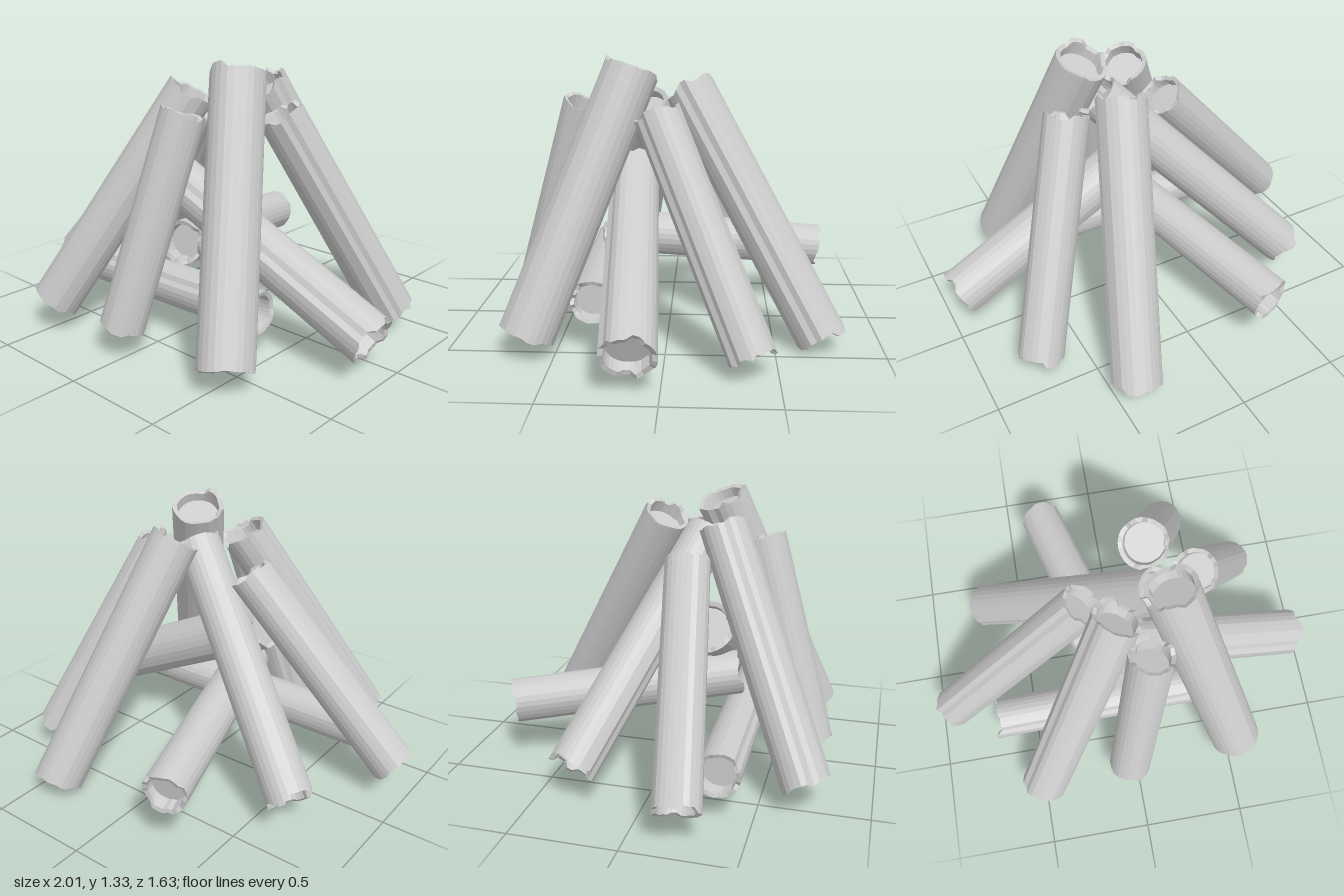
import * as THREE from 'three';

const SIDES = 26;

// Each log: name, bottom end, top end, radius
const LOGS = [
  ['backLeaningLog', [0.40, 0.055, -0.715], [0.14, 1.18, -0.09], 0.118],
  ['backLeftLeaningLog', [0.735, 0.09, -0.385], [0.355, 1.075, 0.04], 0.108],
  ['slantedCrossLog', [0.94, 0.175, 0.125], [-0.19, 0.72, 0.19], 0.123],
  ['rearFloorLog', [-0.305, 0.29, -0.75], [-0.02, 0.44, 0.31], 0.107],
  ['backRightLeaningLog', [-0.685, 0.17, -0.315], [0.17, 1.10, 0.115], 0.112],
  ['frontFloorLog', [-0.685, 0.22, 0.35], [0.48, 0.235, 0.33], 0.103],
  ['rightLeaningLog', [-0.915, 0.17, 0.23], [-0.165, 1.02, 0.085], 0.107],
  ['frontRightLeaningLog', [-0.50, 0.13, 0.71], [-0.03, 1.16, 0.225], 0.115],
  ['frontLeftLeaningLog', [0.545, 0.09, 0.625], [0.205, 1.265, 0.165], 0.128],
  ['frontLeaningLog', [-0.04, 0.13, 0.68], [0.09, 1.09, 0.40], 0.106],
];

function seeded(seed) {
  let s = seed * 7919 + 17;
  return () => (s = (s * 16807) % 2147483647) / 2147483647;
}

// Hollow-ended log along y: bark tube with ragged rims and recessed end discs
function logGeometry(length, radius, seed) {
  const rand = seeded(seed);
  const h = length / 2;
  const groove = Math.floor(rand() * SIDES);
  const bark = [], low = [], high = [];
  for (let k = 0; k < SIDES; k++) {
    // one lengthwise groove with a raised lip beside it
    const g = (k - groove + SIDES) % SIDES;
    bark.push(radius * (g === 0 ? 0.93 : g === 1 ? 1.02 : 0.98 + 0.03 * rand()));
  }
  // ragged rim in short steps
  for (const rim of [low, high]) {
    let step = 0;
    for (let k = 0; k < SIDES; k++) {
      if (k % 3 === 0 || rand() < 0.2) step = (rand() - 0.5) * 0.035;
      rim.push(step);
    }
  }
  // rings: [radius, height] for side k, from bottom disc round to top disc
  const rings = [
    () => [0, -h + 0.06],
    (k) => [bark[k] * 0.78, -h + 0.06],
    (k) => [bark[k] * 0.82, -h + low[k] + 0.006],
    (k) => [bark[k], -h + low[k]],
    (k) => [bark[k], h + high[k]],
    (k) => [bark[k] * 0.82, h + high[k] - 0.006],
    (k) => [bark[k] * 0.78, h - 0.06],
    () => [0, h - 0.06],
  ];
  const last = rings.length - 1;
  const pos = [], index = [];
  rings.forEach((ring, i) => {
    for (let k = 0; k < SIDES; k++) {
      const a = (k / SIDES) * Math.PI * 2;
      const [r, y] = ring(k);
      pos.push(r * Math.cos(a), y, r * Math.sin(a));
      const p = i * SIDES + k, q = i * SIDES + (k + 1) % SIDES;
      // one triangle per side at the disc centres, two elsewhere
      if (i > 0 && i < last) index.push(p, p + SIDES, q);
      if (i < last - 1) index.push(q, p + SIDES, q + SIDES);
    }
  });
  const geo = new THREE.BufferGeometry();
  geo.setAttribute('position', new THREE.Float32BufferAttribute(pos, 3));
  geo.setIndex(index);
  geo.computeVertexNormals();
  return geo;
}

export function createModel() {
  const model = new THREE.Group();
  model.name = 'logPile';
  const wood = new THREE.MeshStandardMaterial({ color: 0xcccccc, flatShading: true });
  const up = new THREE.Vector3(0, 1, 0);

  LOGS.forEach(([name, from, to, radius], i) => {
    const a = new THREE.Vector3(...from), b = new THREE.Vector3(...to);
    const log = new THREE.Mesh(logGeometry(a.distanceTo(b), radius, i + 1), wood);
    log.name = name;
    log.position.copy(a).add(b).multiplyScalar(0.5);
    log.quaternion.setFromUnitVectors(up, b.sub(a).normalize());
    model.add(log);
  });
  return model;
}
